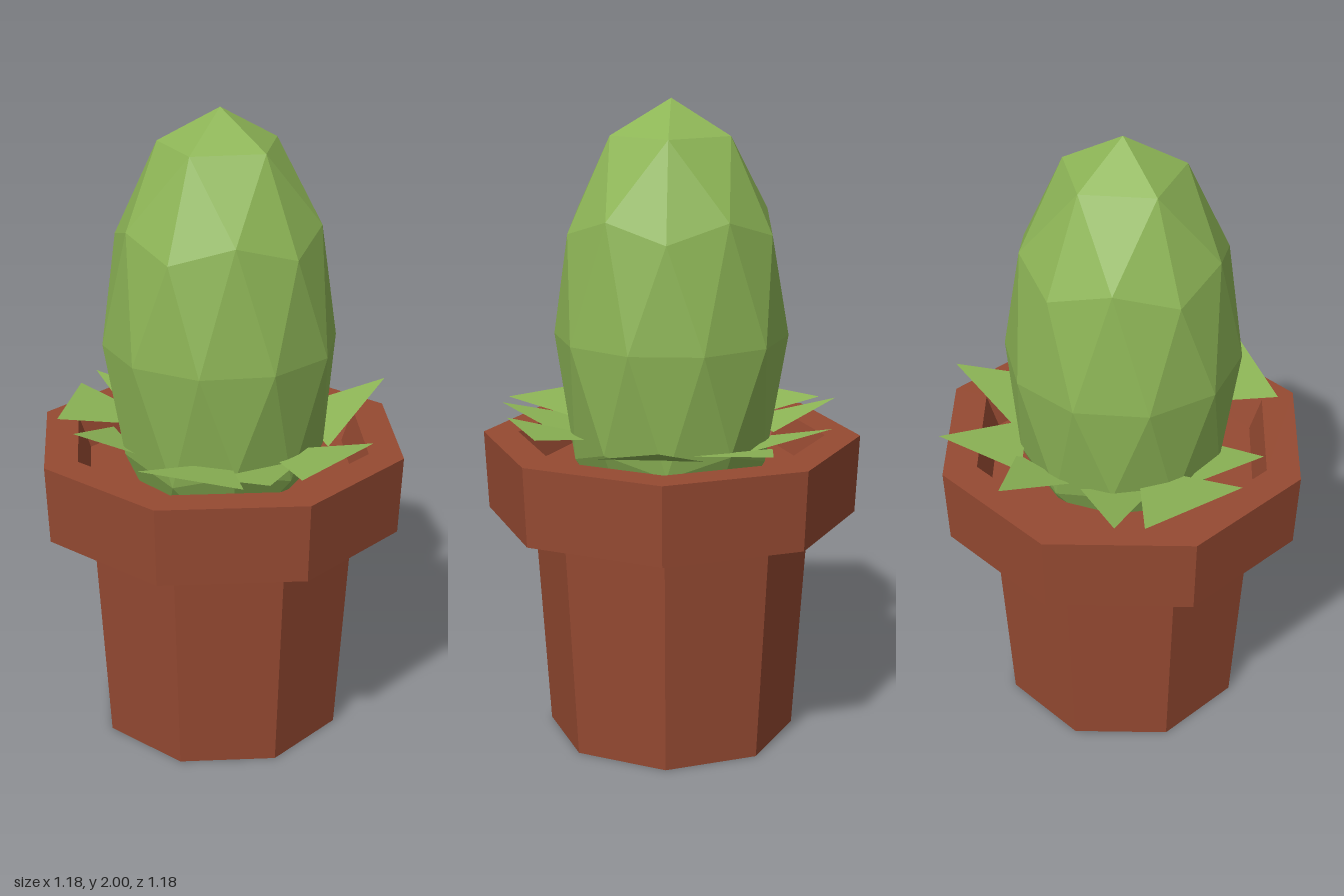
import * as THREE from 'three';

const terracotta = new THREE.MeshStandardMaterial({ color: 0x964a32, flatShading: true });
const green = new THREE.MeshStandardMaterial({ color: 0x8db556, flatShading: true });
const leafGreen = new THREE.MeshStandardMaterial({ color: 0x8db556, flatShading: true, side: THREE.DoubleSide });

function addMesh(parent, name, geometry, material) {
  const mesh = new THREE.Mesh(geometry, material);
  mesh.name = name;
  parent.add(mesh);
  return mesh;
}

// Flat triangular leaf; corners are [x, y, z], wound to face upward
function leafGeometry(a, b, c) {
  const geometry = new THREE.BufferGeometry();
  geometry.setAttribute('position', new THREE.Float32BufferAttribute([...a, ...b, ...c], 3));
  geometry.computeVertexNormals();
  if (geometry.attributes.normal.getY(0) < 0) return leafGeometry(a, c, b);
  return geometry;
}

export function createModel() {
  const model = new THREE.Group();
  model.name = 'pottedCactus';

  // Eight-sided pot: tapered wall, overhanging rim, sunken floor
  const profile = [
    [0, 0], [0.39, 0], [0.435, 0.715], [0.578, 0.715],
    [0.59, 0.962], [0.48, 0.962], [0.44, 0.86], [0, 0.86],
  ].map(([r, y]) => new THREE.Vector2(r, y));
  addMesh(model, 'pot', new THREE.LatheGeometry(profile, 8), terracotta);

  // Faceted egg-shaped body: icosphere turned so a corner is at the top
  const body = new THREE.IcosahedronGeometry(1, 1);
  body.rotateZ(-Math.atan(2 / (1 + Math.sqrt(5))));
  body.scale(0.362, 0.72, 0.362);
  body.translate(0, 1.28, 0);
  body.computeVertexNormals();
  addMesh(model, 'cactusBody', body, green);

  // Ragged ring of leaves around the foot of the body
  const leaves = new THREE.Group();
  leaves.name = 'leaves';
  const corners = [
    [[0.59, 1.055, 0.01], [0.32, 0.96, -0.11], [0.27, 0.95, 0.21]],
    [[0.48, 1.02, -0.315], [0.2, 0.97, -0.315], [0.3, 0.97, -0.07]],
    [[0.185, 1.03, -0.495], [0.04, 0.97, -0.31], [0.25, 0.97, -0.24]],
    [[-0.2, 1.035, -0.52], [-0.2, 0.97, -0.24], [0, 0.97, -0.32]],
    [[-0.275, 1.02, -0.47], [-0.47, 1.03, -0.19], [-0.11, 0.96, -0.14]],
    [[-0.48, 1.04, -0.035], [-0.28, 0.97, -0.19], [-0.3, 0.97, 0.05]],
    [[-0.41, 1.03, 0.285], [-0.19, 1.03, 0.535], [-0.07, 0.96, 0.2]],
    [[-0.11, 1.03, 0.545], [-0.19, 0.97, 0.3], [0.13, 0.97, 0.3]],
    [[0.01, 1.01, 0.515], [0.325, 1.02, 0.39], [0.07, 0.96, 0.17]],
  ];
  for (const leaf of corners) addMesh(leaves, 'leaf', leafGeometry(...leaf), leafGreen);
  model.add(leaves);

  return model;
}
